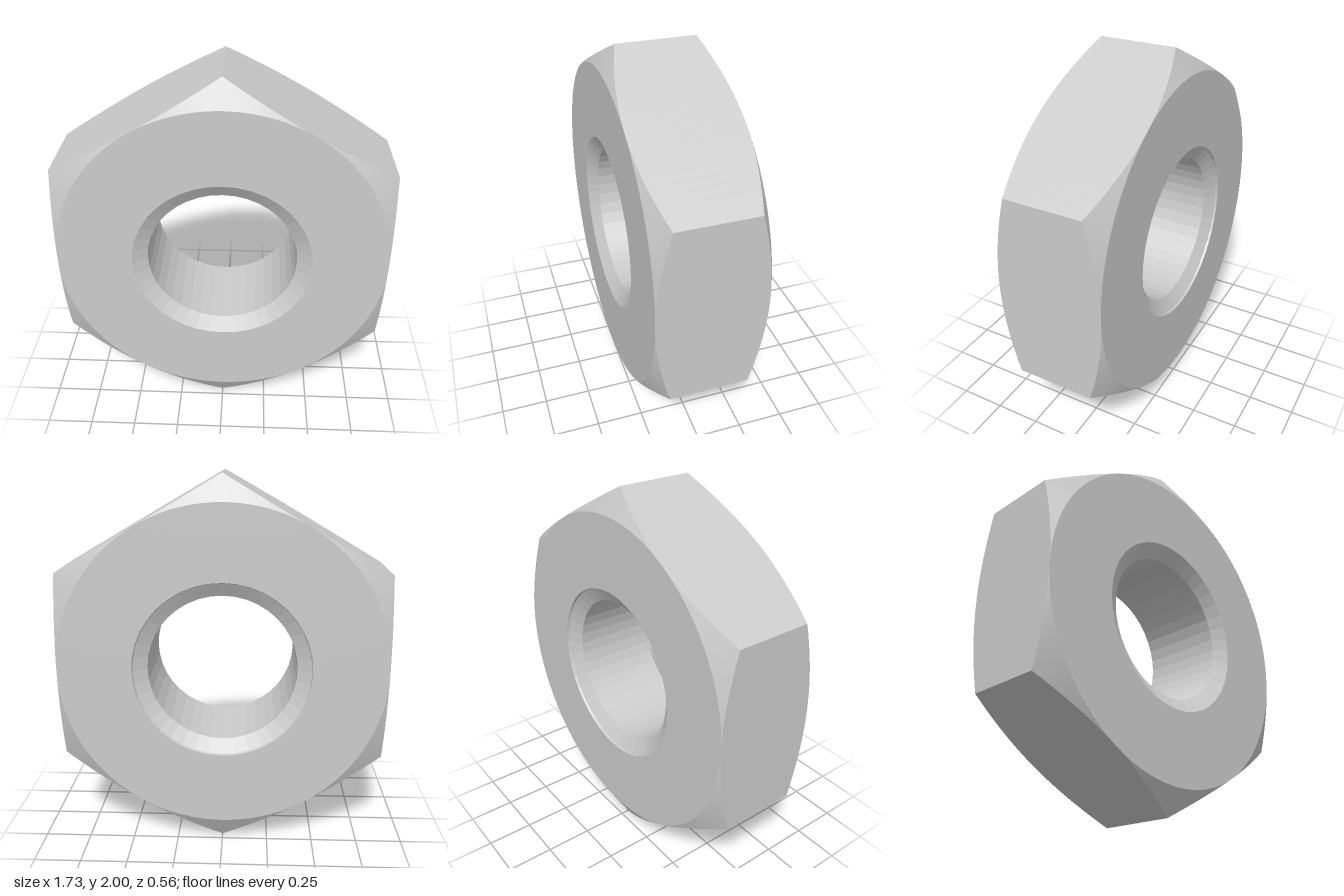
import * as THREE from 'three';
import { toCreasedNormals } from 'three/addons/utils/BufferGeometryUtils.js';

const STEPS = 120;         // points around each ring (multiple of 6 and 40)
const HALF = 0.282;        // half thickness
const FLAT = Math.sqrt(3) / 2; // centre to flat
const BORE_SIDES = 40;

// radius of a regular polygon (corner at angle 0) with corner radius r
function polygonRadius(r, sides, angle) {
  const sector = (2 * Math.PI) / sides;
  const local = (angle % sector) - sector / 2;
  return (r * Math.cos(sector / 2)) / Math.cos(local);
}

const hex = (a) => polygonRadius(1, 6, a);
const bore = (r) => (a) => polygonRadius(r, BORE_SIDES, a);
// the conical corner chamfer drops at 30 degrees beyond the flats
const edgeZ = (a) => HALF - (hex(a) - FLAT) * Math.tan(Math.PI / 6);

// closed cross-section: each entry gives [radius, z] at an angle
const section = [
  (a) => [bore(0.472)(a), HALF],          // front face, inner rim
  () => [FLAT, HALF],                     // front face, outer rim
  (a) => [hex(a), edgeZ(a)],              // front chamfer edge
  (a) => [hex(a), -edgeZ(a)],             // back chamfer edge
  () => [FLAT, -HALF],                    // back face, outer rim
  (a) => [bore(0.472)(a), -HALF],         // back face, inner rim
  (a) => [bore(0.468)(a), -HALF + 0.012], // small lip at the back
  (a) => [bore(0.395)(a), -HALF + 0.055], // bore, back end
  (a) => [bore(0.395)(a), HALF - 0.05],   // bore, front end
];

function nutGeometry() {
  const positions = [];
  const indices = [];
  for (const ring of section) {
    for (let i = 0; i < STEPS; i++) {
      const a = (i / STEPS) * 2 * Math.PI;
      const [r, z] = ring(a);
      // angle 0 points straight up, turning counter-clockwise from the front
      positions.push(-r * Math.sin(a), r * Math.cos(a), z);
    }
  }
  for (let k = 0; k < section.length; k++) {
    const next = (k + 1) % section.length;
    for (let i = 0; i < STEPS; i++) {
      const j = (i + 1) % STEPS;
      const a = k * STEPS + i, b = next * STEPS + i;
      const c = next * STEPS + j, d = k * STEPS + j;
      indices.push(a, b, c, a, c, d);
    }
  }
  const geometry = new THREE.BufferGeometry();
  geometry.setAttribute('position', new THREE.Float32BufferAttribute(positions, 3));
  geometry.setIndex(indices);
  // chamfers stay smooth, hexagon edges and bore facets stay sharp
  return toCreasedNormals(geometry, THREE.MathUtils.degToRad(4));
}

export function createModel() {
  const group = new THREE.Group();
  group.name = 'hexNut';
  const nut = new THREE.Mesh(nutGeometry(), new THREE.MeshStandardMaterial({ color: 0xcccccc }));
  nut.name = 'nutBody';
  nut.position.y = 1;
  group.add(nut);
  return group;
}
